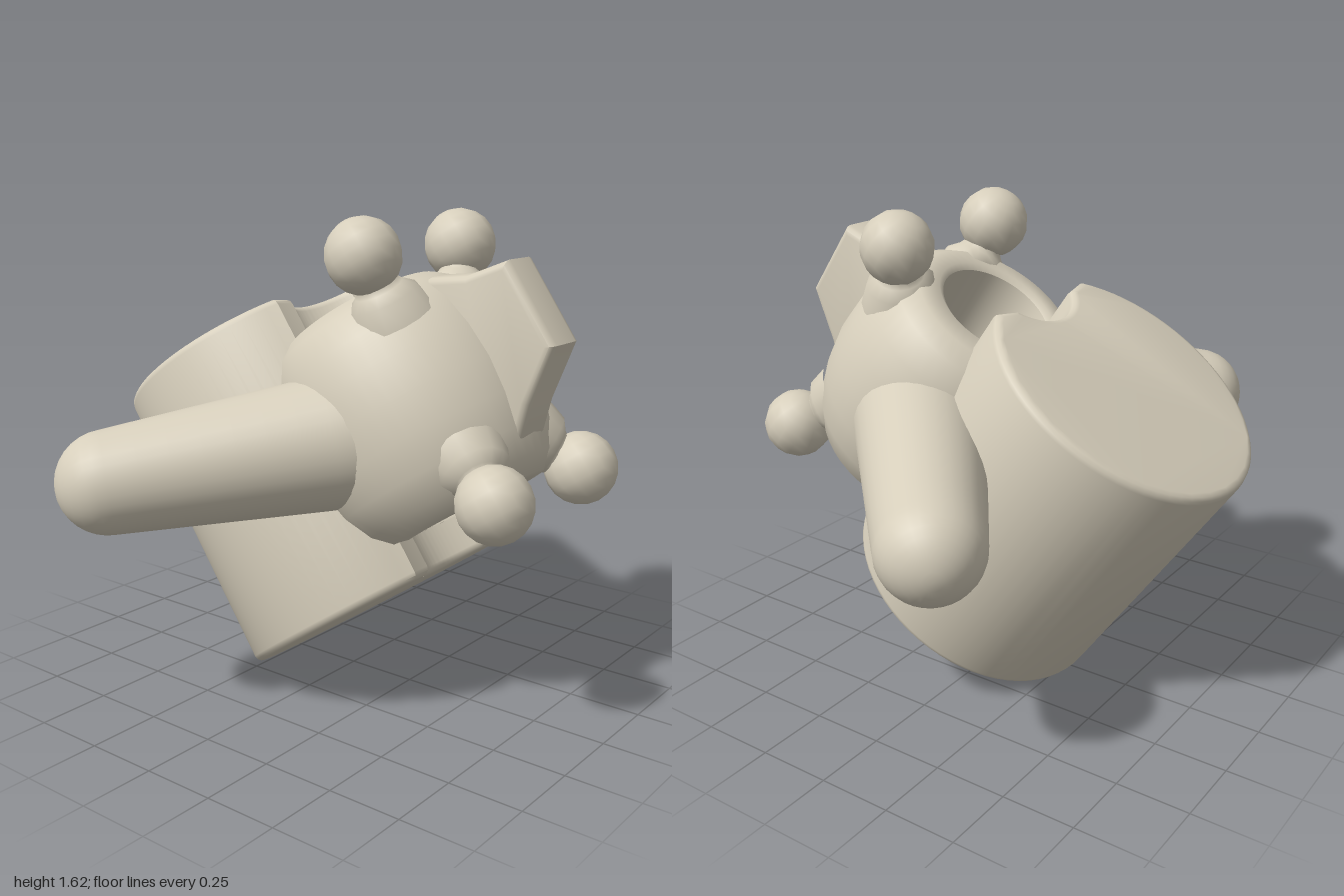
import * as THREE from 'three';
import { mergeVertices, toCreasedNormals } from 'three/addons/utils/BufferGeometryUtils.js';

const HOLE = { u: 0.77, r: 0.2 }; // channel running parallel to the drum axis

// Lathe along the line from a to b; profile pairs are [radius, distance from a]
function latheBetween(a, b, profile, segments) {
  const geo = new THREE.LatheGeometry(profile.map(([r, d]) => new THREE.Vector2(r, d)), segments);
  const dir = b.clone().sub(a).normalize();
  geo.applyQuaternion(new THREE.Quaternion().setFromUnitVectors(new THREE.Vector3(0, 1, 0), dir));
  return geo.translate(a.x, a.y, a.z);
}

// Keep the channel clear by pushing vertices out to its wall
function clearChannel(geo) {
  const p = geo.attributes.position;
  const safe = HOLE.r + 0.04;
  for (let i = 0; i < p.count; i++) {
    const u = p.getX(i) - HOLE.u, z = p.getZ(i), d = Math.hypot(u, z);
    if (d < safe && d > 1e-5) {
      p.setX(i, HOLE.u + (u * safe) / d);
      p.setZ(i, (z * safe) / d);
    }
  }
  return geo;
}

// Rebuild smooth normals across seams
function smooth(geo) {
  geo.deleteAttribute('uv');
  geo.deleteAttribute('normal');
  const merged = mergeVertices(geo, 1e-4);
  merged.computeVertexNormals();
  return merged;
}

export function createModel() {
  const clay = new THREE.MeshStandardMaterial({ color: 0xd6cebb });
  clay.name = 'warm clay';

  const model = new THREE.Group();
  model.name = 'model';
  const tilted = new THREE.Group();
  tilted.name = 'tiltedAssembly';
  tilted.rotation.z = THREE.MathUtils.degToRad(35);
  model.add(tilted);

  const add = (name, geo) => {
    const mesh = new THREE.Mesh(geo, clay);
    mesh.name = name;
    tilted.add(mesh);
  };

  // Drum: thick disc with a groove for the channel
  const section = new THREE.Shape();
  section.absarc(0.26, 0, 0.48, 0.55, Math.PI * 2 - 0.55, false);
  section.absarc(HOLE.u, 0, HOLE.r, -2.2, 2.2, true);
  section.closePath();
  const bevel = 0.025;
  const drum = new THREE.ExtrudeGeometry(section, {
    depth: 1.03 - bevel * 2, curveSegments: 28,
    bevelThickness: bevel, bevelSize: bevel, bevelOffset: -bevel, bevelSegments: 3,
  });
  drum.rotateX(-Math.PI / 2).translate(0, 0.16 + bevel, 0);
  add('drum', toCreasedNormals(drum, 0.7));

  // Body: rounded ring around the channel
  const bodyProfile = [
    [0.2, 0.3], [0.22, 0.285], [0.29, 0.29], [0.345, 0.34], [0.39, 0.43], [0.415, 0.54], [0.425, 0.66],
    [0.415, 0.78], [0.39, 0.89], [0.345, 0.98], [0.29, 1.025], [0.22, 1.035], [0.2, 1.02], [0.2, 0.3],
  ].map(([r, v]) => new THREE.Vector2(r, v));
  const body = new THREE.LatheGeometry(bodyProfile, 48).translate(HOLE.u, 0, 0);
  add('body', toCreasedNormals(body, 0.9));

  // Fin at the front of the body
  const fin = new THREE.Shape([
    [1.0, 0.34], [1.1, 0.36], [1.22, 0.464], [1.39, 0.575], [1.39, 0.873],
    [1.24, 0.91], [1.12, 0.975], [1.0, 0.97],
  ].map(([u, v]) => new THREE.Vector2(u, v)));
  const finGeo = new THREE.ExtrudeGeometry(fin, {
    depth: 0.11, bevelThickness: 0.03, bevelSize: 0.025, bevelOffset: -0.025, bevelSegments: 3,
  }).translate(0, 0, -0.055);
  add('fin', toCreasedNormals(finGeo, 0.7));

  for (const side of [1, -1]) {
    const label = side > 0 ? 'front' : 'back';

    // Arm: tapered capsule swept back from the body
    const tip = new THREE.Vector3(0.219, 0.857, 0.835 * side);
    const root = new THREE.Vector3(0.694, 0.65, 0.24 * side);
    const length = tip.distanceTo(root), tipR = 0.166, rootR = 0.225;
    const profile = [];
    for (let i = 0; i <= 8; i++) {
      const a = (i / 8) * Math.PI / 2;
      profile.push([tipR * Math.sin(a), -tipR * Math.cos(a)]);
    }
    for (let i = 1; i < 8; i++) profile.push([tipR + (rootR - tipR) * (i / 8), length * (i / 8)]);
    for (let i = 0; i <= 8; i++) {
      const a = (i / 8) * Math.PI / 2;
      profile.push([rootR * Math.cos(a), length + rootR * Math.sin(a)]);
    }
    add(label + 'Arm', smooth(clearChannel(latheBetween(tip, root, profile, 32))));

    // Knobs on flared stems, above and below
    for (const end of [1, -1]) {
      const name = label + (end > 0 ? 'Upper' : 'Lower');
      const knob = new THREE.Vector3(1.072, 0.672 + 0.428 * end, 0.268 * side);
      const base = new THREE.Vector3(1.0, 0.66 + 0.25 * end, 0.185 * side);
      const stemLength = base.distanceTo(knob);
      const stem = [[0.14, 0], [0.115, 0.35], [0.08, 0.48], [0.062, 0.6], [0.06, 1]]
        .map(([r, t]) => [r, t * stemLength]);
      add(name + 'Stem', smooth(clearChannel(latheBetween(base, knob, stem, 16))));
      add(name + 'Knob', new THREE.SphereGeometry(0.122, 14, 10).translate(knob.x, knob.y, knob.z));
    }
  }
  return model;
}
